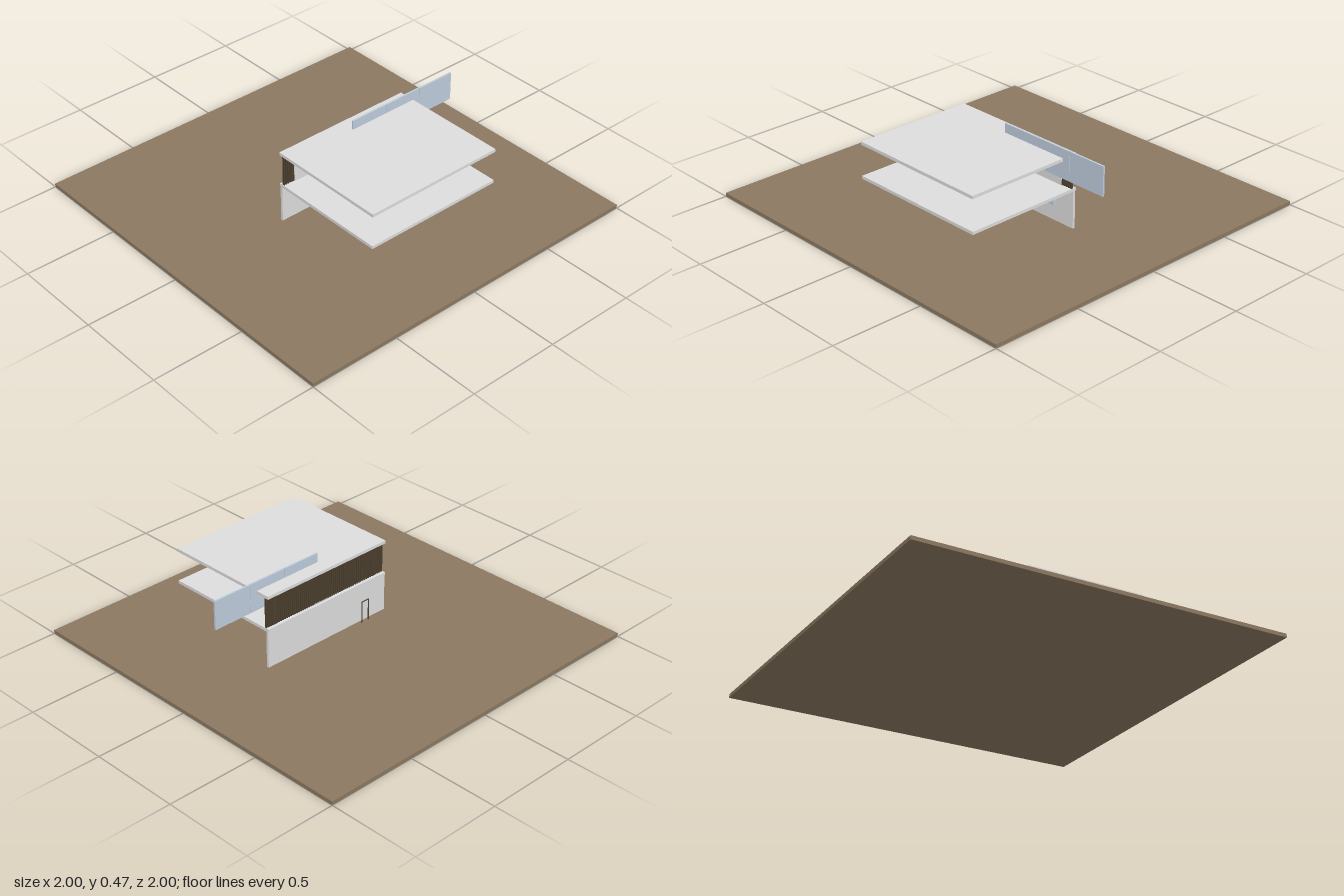
import * as THREE from 'three';

const mat = (name, color) => {
  const m = new THREE.MeshStandardMaterial({ color });
  m.name = name;
  return m;
};

export function createModel() {
  const earth = mat('earth brown', 0x8b7860);
  const concrete = mat('pale concrete', 0xdddddd);
  const timber = mat('dark timber', 0x4d412f);
  const glass = mat('blue glass', 0xbfcddd);

  const model = new THREE.Group();
  model.name = 'pavilion';

  // Box given by its minimum and maximum corners
  const box = (name, material, x0, x1, y0, y1, z0, z1, parent = model) => {
    const mesh = new THREE.Mesh(new THREE.BoxGeometry(x1 - x0, y1 - y0, z1 - z0), material);
    mesh.position.set((x0 + x1) / 2, (y0 + y1) / 2, (z0 + z1) / 2);
    mesh.name = name;
    parent.add(mesh);
    return mesh;
  };
  const group = (name) => {
    const g = new THREE.Group();
    g.name = name;
    model.add(g);
    return g;
  };

  const left = -0.3333, right = 0.4667;

  // Ground, lower wall and the two cantilevered slabs
  box('ground', earth, -1, 1, 0, 0.02, -1, 1);
  box('lowerWall', concrete, left, right, 0.02, 0.22, -0.0133, 0);
  box('floorSlab', concrete, left, right, 0.22, 0.2367, -0.0167, 0.65);
  box('roofSlab', concrete, left, right, 0.4033, 0.42, -0.0167, 0.65);

  // Screen of closely spaced upright slats on the upper floor
  const screen = group('slatScreen');
  const pitch = 0.8 / 60;
  for (let i = 0; i < 60; i++) {
    const x = left + (i + 0.25) * pitch;
    box('slat', timber, x, x + pitch / 2, 0.2367, 0.4033, 0, 0.0117, screen);
  }

  // Solid panel in front of the slats, with a post at each side
  box('upperPanel', concrete, -0.2667, 0.4, 0.2367, 0.39, 0.0117, 0.0167);
  box('panelPost', timber, -0.28, -0.2667, 0.2367, 0.4033, 0, 0.0125);
  box('panelPost', timber, 0.4, 0.4133, 0.2367, 0.4033, 0, 0.0125);

  // Long glass fin through the roof, in three panes
  const fin = group('glassFin');
  const pane = 0.6667 / 3, seam = 0.001;
  for (let i = 0; i < 3; i++) {
    const x = 0.0633 + i * pane;
    box('pane', glass, x + (i ? seam : 0), x + pane - (i < 2 ? seam : 0), 0.3133, 0.47, 0.062, 0.072, fin);
  }

  // Low strip window on the front of the wall
  box('stripWindow', glass, 0.1333, 0.345, 0.105, 0.155, 0, 0.0117);

  // Free-standing door frame at the back
  const door = group('doorFrame');
  const bar = 0.004;
  box('jamb', timber, -0.205, -0.205 + bar, 0.02, 0.14, -0.031, -0.027, door);
  box('jamb', timber, -0.155 - bar, -0.155, 0.02, 0.14, -0.031, -0.027, door);
  box('lintel', timber, -0.205 + bar, -0.155 - bar, 0.14 - bar, 0.14, -0.031, -0.027, door);

  return model;
}
